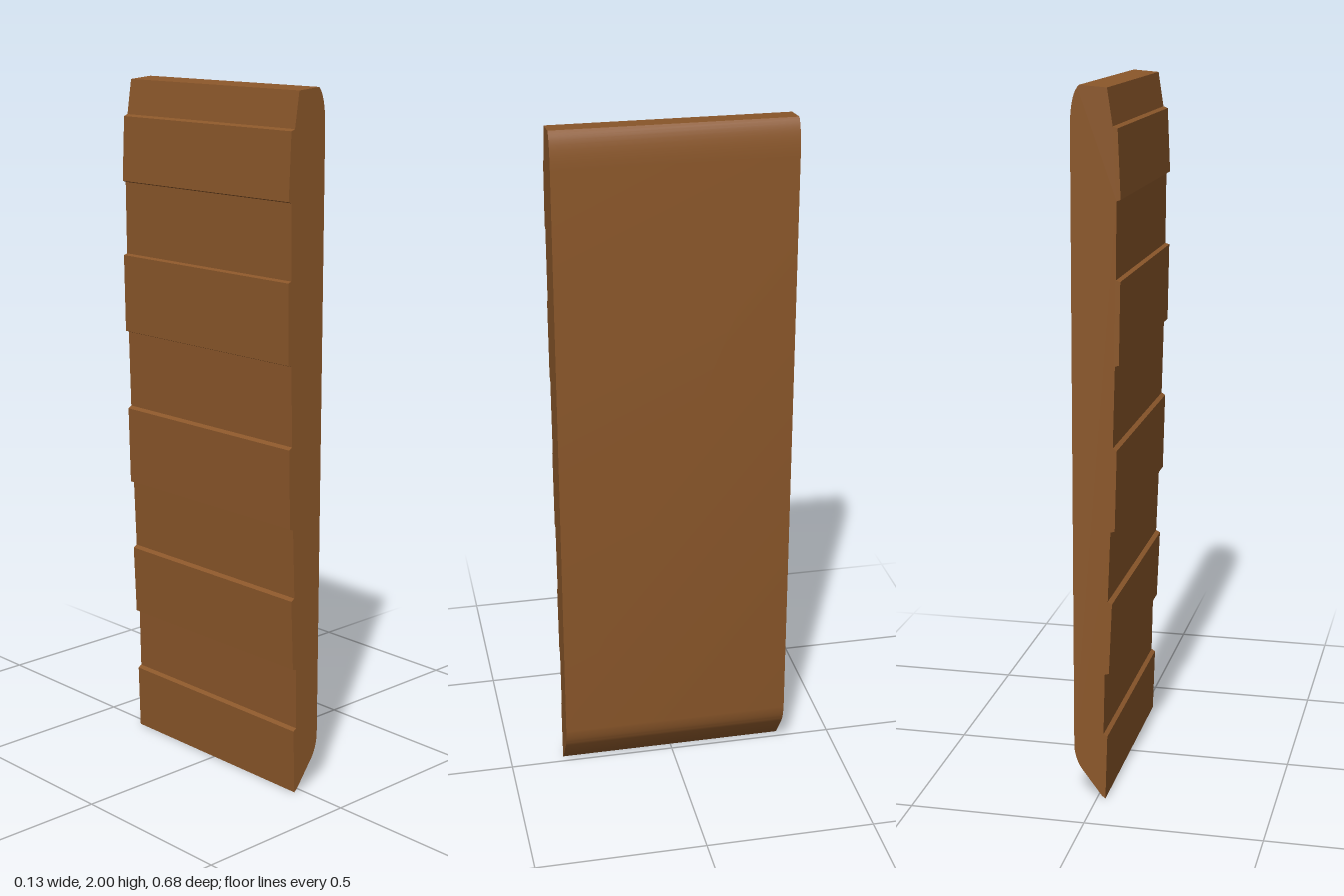
import * as THREE from 'three';
import { toCreasedNormals } from 'three/addons/utils/BufferGeometryUtils.js';

const DEPTH = 0.678;

export function createModel() {
  const group = new THREE.Group();
  group.name = 'notchedPlank';
  const wood = new THREE.MeshStandardMaterial({ color: 0x8b572a });
  wood.name = 'brown wood';

  // Side profile: slanted foot, smooth face, rounded head
  const profile = new THREE.Shape();
  profile.moveTo(-0.024, 0);
  profile.lineTo(-0.014, 0.008);
  profile.lineTo(0.045, 0.087);
  profile.quadraticCurveTo(0.062, 0.112, 0.066, 0.15);
  profile.lineTo(0.066, 1.9);
  profile.quadraticCurveTo(0.064, 1.98, 0.041, 2);
  profile.lineTo(-0.033, 1.994);
  profile.lineTo(-0.048, 1.895);

  // Raised steps down the other face: [top x, top y, bottom x, bottom y, x of the recess below]
  const steps = [
    [-0.061, 1.89, -0.069, 1.705, -0.058],
    [-0.068, 1.488, -0.064, 1.262, -0.053],
    [-0.058, 1.025, -0.052, 0.797, -0.04],
    [-0.044, 0.585, -0.035, 0.38, -0.023],
  ];
  const recessTops = [1.49, 1.03, 0.59, 0.195];
  const recessTopX = [-0.056, -0.047, -0.032, -0.019];
  steps.forEach(([tx, ty, bx, by, rx], i) => {
    profile.lineTo(tx, ty);
    profile.lineTo(bx, by);
    profile.lineTo(rx, by - 0.004);
    profile.lineTo(recessTopX[i], recessTops[i] + 0.002);
  });
  profile.lineTo(-0.03, 0.19);
  profile.closePath();

  const solid = new THREE.ExtrudeGeometry(profile, {
    depth: DEPTH, bevelEnabled: false, curveSegments: 8,
  });
  solid.translate(0, 0, -DEPTH / 2);
  const plank = new THREE.Mesh(toCreasedNormals(solid, Math.PI / 7), wood);
  plank.name = 'plank';
  group.add(plank);
  return group;
}
